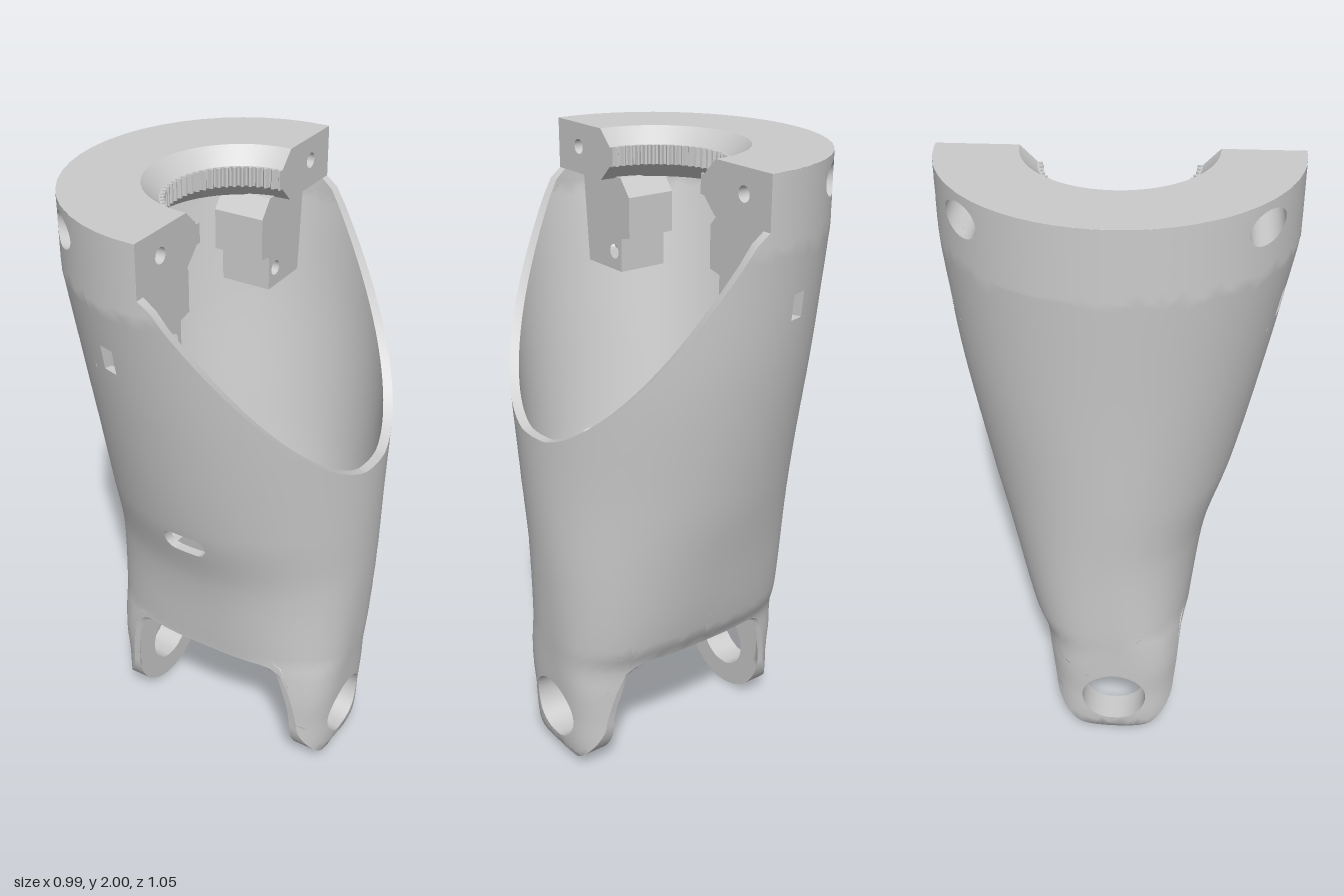
import * as THREE from 'three';
import { toCreasedNormals, mergeVertices } from 'three/addons/utils/BufferGeometryUtils.js';

const V2 = (x, y) => new THREE.Vector2(x, y);
const V3 = (x, y, z) => new THREE.Vector3(x, y, z);
const K = 0.45; // scale of the unrolled angle

// Cross-sections of the sleeve: y, x min, x max, z min, z max, squareness
const ROWS = [
  [0, -0.345, 0.4, -0.24, 0.24, 3.5], [0.05, -0.375, 0.432, -0.24, 0.24, 3.5],
  [0.2, -0.383, 0.443, -0.24, 0.24, 3.5], [0.3, -0.39, 0.45, -0.242, 0.242, 3.5],
  [0.4, -0.395, 0.456, -0.255, 0.247, 3.1], [0.48, -0.4, 0.462, -0.295, 0.255, 2.7],
  [0.76, -0.412, 0.478, -0.365, 0.297, 2.2], [1.0, -0.43, 0.487, -0.42, 0.372, 2],
  [1.4, -0.46, 0.495, -0.487, 0.457, 2], [1.78, -0.495, 0.495, -0.525, 0.525, 2],
];
const slope = (i, c) => {
  const a = ROWS[Math.max(i - 1, 0)], b = ROWS[Math.min(i + 1, ROWS.length - 1)];
  return (b[c] - a[c]) / (b[0] - a[0]);
};
function section(y) {
  y = THREE.MathUtils.clamp(y, 0, 1.78);
  let i = 0;
  while (i < ROWS.length - 2 && y > ROWS[i + 1][0]) i++;
  const h = ROWS[i + 1][0] - ROWS[i][0], t = (y - ROWS[i][0]) / h, q = 1 - t;
  const v = [1, 2, 3, 4, 5].map((c) => ROWS[i][c] * (1 + 2 * t) * q * q + slope(i, c) * h * t * q * q
    + ROWS[i + 1][c] * t * t * (3 - 2 * t) - slope(i + 1, c) * h * t * t * q);
  return { cx: (v[0] + v[1]) / 2, rx: (v[1] - v[0]) / 2, cz: (v[2] + v[3]) / 2, rz: (v[3] - v[2]) / 2, n: v[4] };
}
const other = (k, n) => Math.pow(Math.max(0, 1 - Math.pow(Math.min(1, Math.abs(k)), n)), 1 / n);
const unroll = (c, s, y) => {
  let a = Math.atan2(s, c);
  if (a < -Math.PI / 2 - 1e-9) a += 2 * Math.PI;
  return V2(-a * K, y);
};
// Points on the unrolled sleeve from (x, y) or (z, y) and a side
const atX = (x, y, side) => {
  const s = section(y), k = THREE.MathUtils.clamp((x - s.cx) / s.rx, -1, 1);
  return unroll(k, side * other(k, s.n), y);
};
const atZ = (z, y, side) => {
  const s = section(y), k = (z - s.cz) / s.rz;
  return unroll(side * other(k, s.n), k, y);
};
const edgeZ = (x, y, side) => {
  const s = section(y);
  return s.cz + side * s.rz * other((x - s.cx) / s.rx, s.n);
};
function ring(u, y, inset) {
  const s = section(y), a = -u / K, c = Math.cos(a), d = Math.sin(a);
  const r = 1 / Math.pow(Math.abs(c) ** s.n + Math.abs(d) ** s.n, 1 / s.n);
  return V3(s.cx + (s.rx - inset) * r * c, y, s.cz + (s.rz - inset) * r * d);
}
const LUG_L = 0.335, LUG_R = -0.28; // flat inner faces of the lugs
const outer = (u, y) => ring(u, y, 0);
function inner(u, y) {
  const p = ring(u, y, 0.03), o = ring(u, y, 0), w = 1 - THREE.MathUtils.smoothstep(y, 0.5, 0.62);
  p.z += (o.z - p.z) * w;
  if (p.x > LUG_L) p.x += (LUG_L - p.x) * w;
  if (p.x < LUG_R) p.x += (LUG_R - p.x) * w;
  return p;
}

// Solid skin over a flat outline with holes: front and back surfaces plus all rims
function skin(outline, holes, front, back, step) {
  const dense = (pts) => pts.flatMap((p, i) => {
    const q = pts[(i + 1) % pts.length], n = Math.max(1, Math.ceil(p.distanceTo(q) / step));
    return Array.from({ length: n }, (_, k) => p.clone().lerp(q, k / n));
  });
  const orient = (pts, cw) => (THREE.ShapeUtils.isClockWise(pts) === cw ? pts : pts.reverse());
  const loops = [orient(dense(outline), false), ...holes.map((h) => orient(dense(h.pts), true))];
  const all = loops.flat(), pos = [], nor = [], rim = [];
  const put = (f, p, sign) => {
    const e = 0.002;
    const du = f(p.x + e, p.y).sub(f(p.x - e, p.y)), dv = f(p.x, p.y + e).sub(f(p.x, p.y - e));
    pos.push(...f(p.x, p.y));
    nor.push(...du.cross(dv).normalize().multiplyScalar(sign));
  };
  const stack = THREE.ShapeUtils.triangulateShape(loops[0], loops.slice(1)).map((t) => t.map((i) => all[i]));
  while (stack.length) {
    let [a, b, c] = stack.pop();
    const l = [a.distanceTo(b), b.distanceTo(c), c.distanceTo(a)], m = Math.max(...l);
    if (m > step * 1.01) {
      if (m === l[1]) [a, b, c] = [b, c, a];
      else if (m === l[2]) [a, b, c] = [c, a, b];
      const h = a.clone().add(b).multiplyScalar(0.5);
      stack.push([a, h, c], [h, b, c]);
      continue;
    }
    const area = (b.x - a.x) * (c.y - a.y) - (c.x - a.x) * (b.y - a.y);
    if (area < 0) [b, c] = [c, b];
    [a, b, c].forEach((p) => put(front, p, 1));
    [a, c, b].forEach((p) => put(back, p, -1));
  }
  loops.forEach((pts, k) => pts.forEach((p, i) => {
    const q = pts[(i + 1) % pts.length], g = (k && holes[k - 1].back) || back;
    const a = front(p.x, p.y), b = front(q.x, q.y), a2 = g(p.x, p.y), b2 = g(q.x, q.y);
    [a2, b2, b, a2, b, a].forEach((v) => rim.push(...v));
  }));
  const face = new THREE.BufferGeometry();
  face.setAttribute('position', new THREE.Float32BufferAttribute(pos, 3));
  face.setAttribute('normal', new THREE.Float32BufferAttribute(nor, 3));
  const side = new THREE.BufferGeometry();
  side.setAttribute('position', new THREE.Float32BufferAttribute(rim, 3));
  return [mergeVertices(face), toCreasedNormals(side, 0.6)];
}

const circle = (cx, cy, r, n = 32) => Array.from({ length: n }, (_, i) =>
  V2(cx + r * Math.cos((i / n) * 2 * Math.PI), cy + r * Math.sin((i / n) * 2 * Math.PI)));
// Rounded slot, one quarter turn per corner
const slot = (cx, cy, hx, hy, r) => [[1, 1], [-1, 1], [-1, -1], [1, -1]].flatMap(([sx, sy], k) =>
  Array.from({ length: 7 }, (_, i) => {
    const a = (k + i / 6) * Math.PI / 2;
    return V2(cx + sx * (hx - r) + r * Math.cos(a), cy + sy * (hy - r) + r * Math.sin(a));
  }));
const rect = (x0, y0, x1, y1) => [V2(x0, y0), V2(x1, y0), V2(x1, y1), V2(x0, y1)];
const span = (a, b, n) => Array.from({ length: n + 1 }, (_, i) => a + ((b - a) * i) / n);

// Lower edge between the lugs, filleted into their inner faces
const edgeY = (x, side) => {
  const d = THREE.MathUtils.clamp(0.1 - Math.min(x - LUG_R, LUG_L - x), 0, 0.1);
  return (side > 0 ? 0.45 : 0.41) - 0.1 + Math.sqrt(Math.max(0, 0.01 - d * d));
};

export function createModel() {
  const group = new THREE.Group();
  const grey = new THREE.MeshStandardMaterial({ color: 0xcccccc });
  const thin = new THREE.MeshStandardMaterial({ color: 0xcccccc, side: THREE.DoubleSide });
  const add = (name, geo, mat = grey) => {
    const m = new THREE.Mesh(geo, mat);
    m.name = name;
    group.add(m);
  };

  // Sleeve outline, unrolled from the back: lower edge with two lugs, then sloping opening and collar
  const mid = section(0.41).cx, lug = span(Math.PI, 2 * Math.PI, 28).map((a) => [0.2 * Math.cos(a), 0.2 + 0.2 * Math.sin(a)]);
  const low = [V2(K * Math.PI / 2, 0.41)];
  span(mid + 0.02, LUG_L, 16).forEach((x) => low.push(atX(x, edgeY(x, -1), -1)));
  lug.forEach(([z, y]) => low.push(atZ(z, y, 1)));
  span(LUG_L, LUG_R, 32).forEach((x) => low.push(atX(x, edgeY(x, 1), 1)));
  lug.slice().reverse().forEach(([z, y]) => low.push(atZ(z, y, -1)));
  span(LUG_R, mid - 0.02, 16).forEach((x) => low.push(atX(x, edgeY(x, -1), -1)));
  low.push(V2(-K * 1.5 * Math.PI, 0.41));
  const cut = (side) => span(1, 0, 24).map((s) => {
    const y = 1.19 + 0.62 * s * s;
    return s === 0 ? V2(0, y) : atX(0.06 + (1.81 - y) * 0.69, y, side);
  });
  const high = [V2(-K * 1.5 * Math.PI, 2), atX(0.02, 2, 1), atX(0.02, 1.84, 1), ...cut(1),
    ...cut(-1).reverse().slice(1), atX(0.02, 1.84, -1), atX(0.02, 2, -1), V2(K * Math.PI / 2, 2)];

  // Openings: front slot, pivot holes, nut slots, collar screw bores
  const holes = [{ pts: slot(0.03, 0.94, 0.073, 0.04, 0.035).map((p) => atX(p.x, p.y, 1)) }];
  for (const s of [1, -1]) {
    holes.push({ pts: circle(0, 0.185, 0.107, 40).map((p) => atZ(p.x, Math.max(p.y, 0.08), s)) });
    holes.push({ pts: rect(-0.15, 1.56, -0.1, 1.64).map((p) => atX(p.x, p.y, s)) });
    holes.push({
      pts: circle(s * 0.41, 1.925, 0.05).map((p) => atZ(p.x, p.y, -1)),
      back: (u, y) => outer(u, y).setX(-0.08),
    });
  }
  const [wall, rims] = skin([...low, ...high], holes, outer, inner, 0.06);
  add('sleeve', wall);
  add('sleeveRims', rims);

  // Arched floor above the axle channel, with a cable slot
  const under = (x, v) => {
    const t = v / 0.5, yb = edgeY(x, -1), yf = edgeY(x, 1);
    const zb = edgeZ(x, yb, -1), zf = edgeZ(x, yf, 1);
    return V3(x, yb + (yf - yb) * t + 0.36 * t * (1 - t), zb + (zf - zb) * t);
  };
  const [floor, floorRims] = skin(rect(LUG_R, 0, LUG_L, 0.5), [{ pts: slot(0.25, 0.165, 0.04, 0.125, 0.038) }],
    under, (x, v) => under(x, v).add(V3(0, 0.03, 0)), 0.03);
  add('floor', floor, thin);
  add('floorRims', floorRims, thin);

  // Turns a (z, y) shape into a plate running along x, or a flat face where it has no depth
  const plate = (name, pts, x0, depth, bores = []) => {
    const shape = new THREE.Shape(pts.map((p) => V2(-p.x, p.y)));
    bores.forEach((b) => shape.holes.push(new THREE.Path(b.map((p) => V2(-p.x, p.y)))));
    const geo = depth ? new THREE.ExtrudeGeometry(shape, { depth, bevelEnabled: false }) : new THREE.ShapeGeometry(shape);
    add(name, geo.rotateY(Math.PI / 2).translate(x0, 0, 0), depth ? grey : thin);
  };

  // Cross ribs standing on the floor
  for (const x of [-0.15, 0.04, 0.205]) {
    const ys = [0.5, 0.6, 0.68, 0.75];
    plate('rib', [...ys.map((y) => V2(edgeZ(x, y, 1) - 0.012, y)),
      ...ys.slice().reverse().map((y) => V2(edgeZ(x, y, -1) + 0.012, y))], x - 0.012, 0.024);
  }

  // Half collar with a chamfered bore
  const bore = [[0.5, 1.84], [0.285, 1.84], [0.235, 1.89], [0.235, 1.95], [0.285, 2], [0.5, 2]].map(([r, y]) => V2(r, y));
  add('collar', toCreasedNormals(new THREE.LatheGeometry(bore, 48, Math.PI, Math.PI), 0.5).translate(0.02, 0, 0), thin);

  // Knurled band in the bore
  const teeth = span(Math.PI / 2, 1.5 * Math.PI, 120).map((a, i) => {
    const r = i % 4 < 2 ? 0.22 : 0.231;
    return V2(r * Math.cos(a), r * Math.sin(a));
  });
  const backArc = span(1.5 * Math.PI, Math.PI / 2, 40).map((a) => V2(0.25 * Math.cos(a), 0.25 * Math.sin(a)));
  add('knurledBand', new THREE.ExtrudeGeometry(new THREE.Shape([...teeth, ...backArc]), { depth: 0.06, bevelEnabled: false })
    .rotateX(-Math.PI / 2).translate(0.02, 1.89, 0));

  for (const s of [1, -1]) {
    const pts = (list) => list.map(([z, y]) => V2(s * z, y));
    // Collar end face with its screw hole and the seat of the bore behind it
    plate('collarEndFace', pts([[0.285, 1.84], [0.235, 1.89], [0.235, 1.95], [0.285, 2], [0.524, 2], [0.524, 1.84]]),
      0.02, 0, [circle(s * 0.41, 1.925, 0.024)]);
    add('screwHole', new THREE.CylinderGeometry(0.024, 0.024, 0.1, 24, 1, true)
      .rotateZ(Math.PI / 2).translate(-0.03, 1.925, s * 0.41), thin);
    add('screwSeat', new THREE.RingGeometry(0.024, 0.051, 32)
      .rotateY(Math.PI / 2).translate(-0.08, 1.925, s * 0.41), thin);
    // Stepped bracket under the collar
    plate('bracket', pts([[0.25, 1.845], [0.205, 1.79], [0.205, 1.66], [0.25, 1.65], [0.25, 1.54], [0.435, 1.54], [0.46, 1.845]]),
      -0.2, 0.17, [circle(s * 0.29, 1.6, 0.024, 24)]);
  }
  return group;
}
